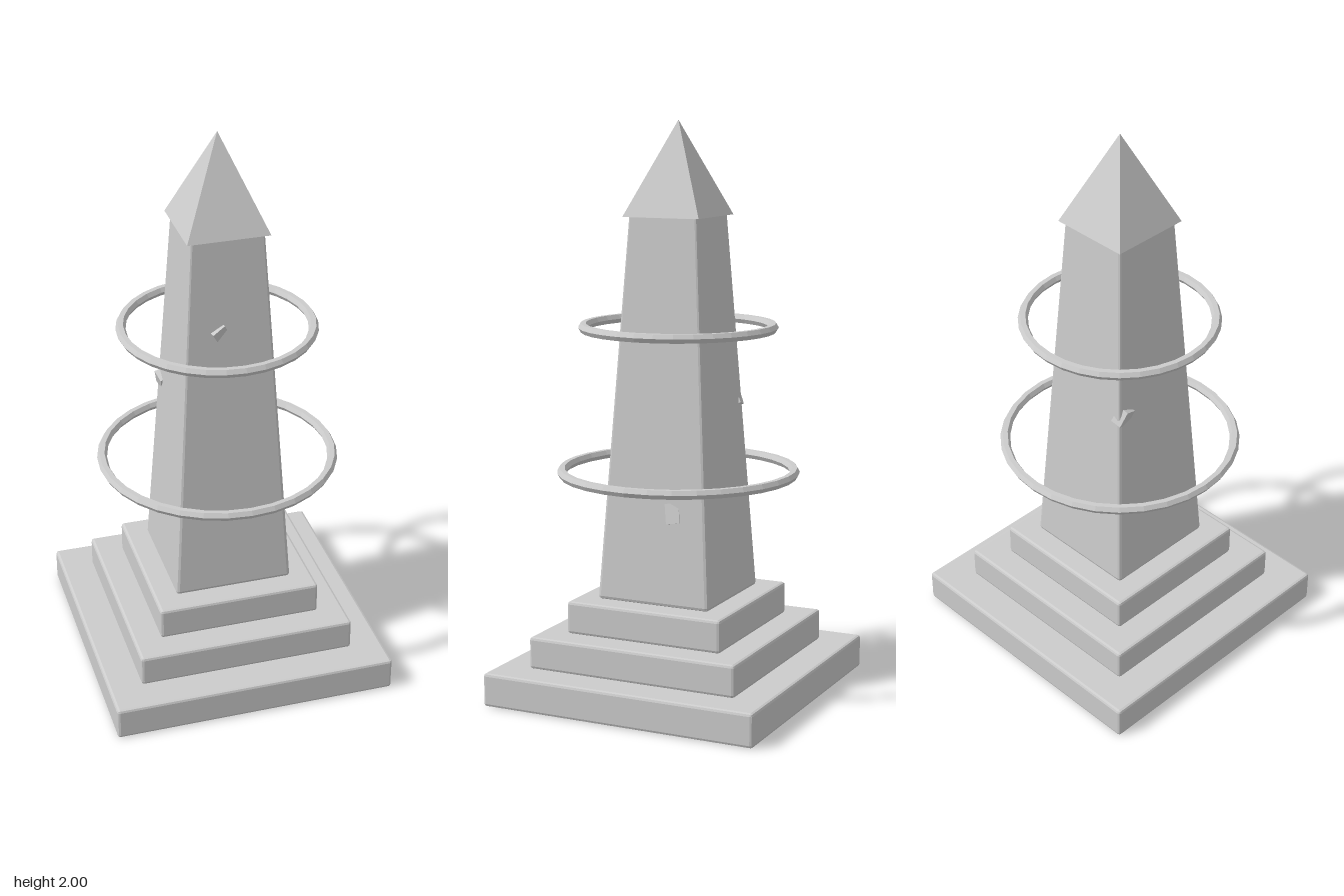
import * as THREE from 'three';
import { RoundedBoxGeometry } from 'three/addons/geometries/RoundedBoxGeometry.js';

export function createModel() {
  const group = new THREE.Group();
  const stone = new THREE.MeshStandardMaterial({ color: 0xcccccc, flatShading: true });
  stone.name = 'stone grey';

  function add(name, geometry, x = 0, y = 0, z = 0) {
    const mesh = new THREE.Mesh(geometry, stone);
    mesh.name = name;
    mesh.position.set(x, y, z);
    group.add(mesh);
    return mesh;
  }

  // Stepped plinth: half width, bottom, top
  const steps = [
    ['baseStep', 0.505, 0, 0.118],
    ['middleStep', 0.388, 0.118, 0.231],
    ['upperStep', 0.291, 0.231, 0.346],
  ];
  for (const [name, half, y0, y1] of steps) {
    add(name, new RoundedBoxGeometry(half * 2, y1 - y0, half * 2, 1, 0.01), 0, (y0 + y1) / 2, 0);
  }

  // Tapered shaft with softened edges
  const bottom = 0.346, top = 1.685, bottomHalf = 0.212, topHalf = 0.127;
  const height = top - bottom;
  const shaft = new RoundedBoxGeometry(bottomHalf * 2, height, bottomHalf * 2, 1, 0.012);
  const p = shaft.attributes.position;
  for (let i = 0; i < p.count; i++) {
    const t = p.getY(i) / height + 0.5;
    const s = THREE.MathUtils.lerp(1, topHalf / bottomHalf, t);
    p.setX(i, p.getX(i) * s);
    p.setZ(i, p.getZ(i) * s);
  }
  shaft.computeVertexNormals();
  add('shaft', shaft, 0, (bottom + top) / 2, 0);

  // Pyramid cap, slightly wider than the shaft
  const cap = new THREE.ConeGeometry(0.143 * Math.SQRT2, 0.325, 4);
  cap.rotateY(Math.PI / 4);
  add('pyramidCap', cap, 0, 1.8375, 0);

  // Floating hexagonal-section rings
  for (const [name, radius, y] of [['lowerRing', 0.408, 0.783], ['upperRing', 0.33, 1.291]]) {
    const ring = new THREE.TorusGeometry(radius, 0.0175, 6, 32);
    ring.rotateX(Math.PI / 2);
    add(name, ring, 0, y, 0);
  }

  // Small tilted stone chips barely breaking through the shaft faces
  const chips = [
    ['frontChip', [0.05, 0.06, 0.04], [-0.032, 1.335, 0.131], [0.2, 0.3, 0.5]],
    ['rightChip', [0.04, 0.07, 0.05], [0.176, 0.67, -0.068], [0.15, 0.1, 0.2]],
    ['leftChip', [0.04, 0.06, 0.05], [-0.156, 1.03, -0.14], [0.4, 0.2, 0.2]],
  ];
  for (const [name, size, at, turn] of chips) {
    add(name, new THREE.BoxGeometry(...size), ...at).rotation.set(...turn);
  }

  return group;
}
